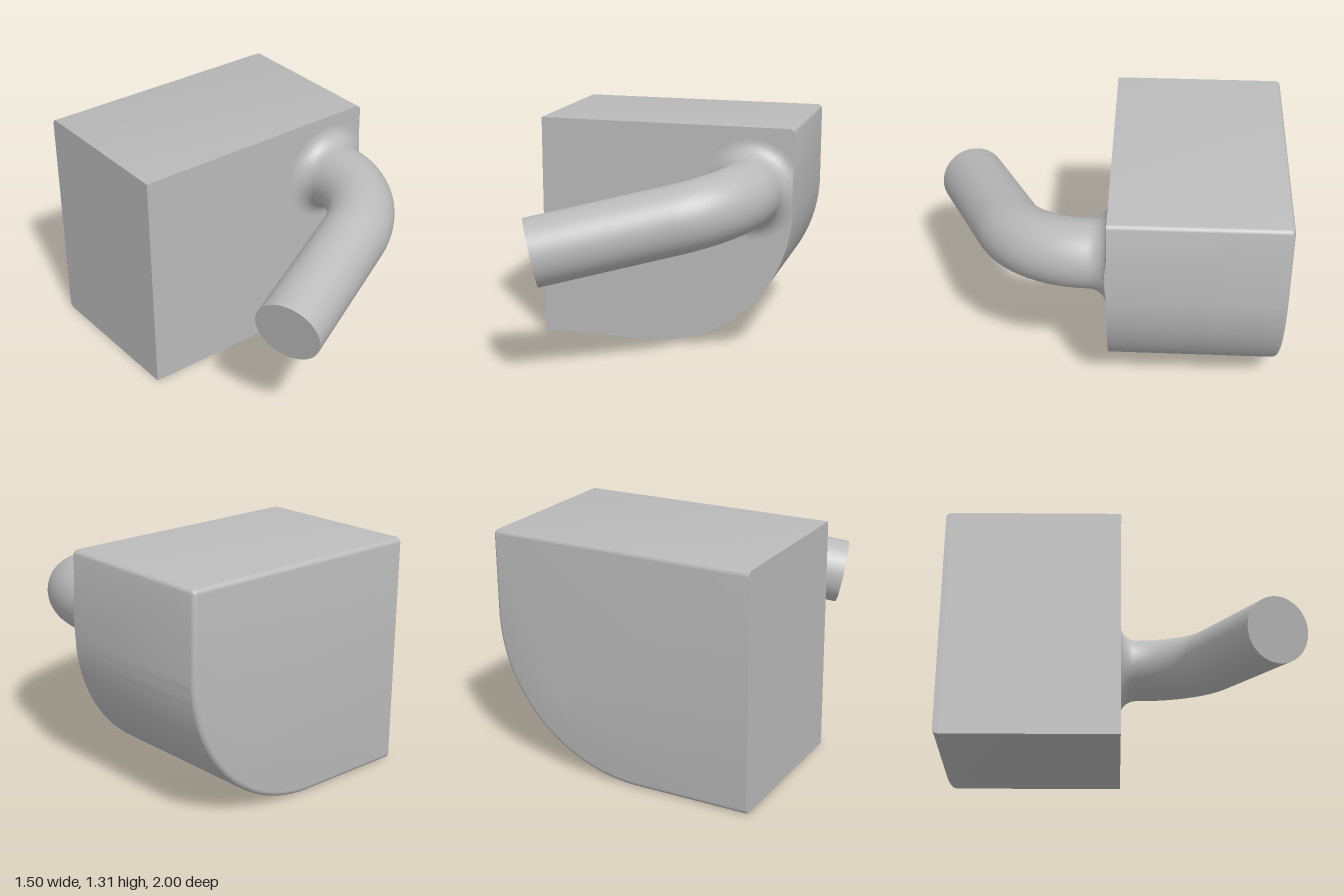
import * as THREE from 'three';
import { toCreasedNormals } from 'three/addons/utils/BufferGeometryUtils.js';

const W = 0.752, H = 1.312;           // block half width and height
const FRONT = -0.04, BACK = -1;       // block depth range
const EDGE = 0.03, CORNER = 0.85;     // small edge round, large lower corner
const AX = 0.51, AY = 0.955;          // arm root on the front face
const ARM_R = 0.19, FILLET = 0.1, BEND_R = 0.508, STRAIGHT = 0.775;
const TILT = THREE.MathUtils.degToRad(12.45);
const BEND = THREE.MathUtils.degToRad(67.5);

// Skin closed rings of points, listed back to front, each counter-clockwise
function loft(rings, capStart, capEnd) {
  const n = rings[0].length, pos = [], idx = [];
  rings.forEach(ring => ring.forEach(p => pos.push(p.x, p.y, p.z)));
  for (let k = 0; k < rings.length - 1; k++) {
    for (let i = 0; i < n; i++) {
      const a = k * n + i, b = k * n + (i + 1) % n;
      idx.push(a, b, a + n, b, b + n, a + n);
    }
  }
  const cap = (k, flip) => {
    const c = new THREE.Vector3();
    rings[k].forEach(p => c.addScaledVector(p, 1 / n));
    const centre = pos.length / 3;
    pos.push(c.x, c.y, c.z);
    for (let i = 0; i < n; i++) {
      const a = k * n + i, b = k * n + (i + 1) % n;
      idx.push(...(flip ? [b, a, centre] : [a, b, centre]));
    }
  };
  if (capStart) cap(0, true);
  if (capEnd) cap(rings.length - 1, false);
  const g = new THREE.BufferGeometry();
  g.setAttribute('position', new THREE.Float32BufferAttribute(pos, 3));
  g.setIndex(idx);
  return toCreasedNormals(g, 0.5);
}

// Block outline, drawn in by d on every side but the flat -x one
function blockRing(d, z) {
  const pts = [new THREE.Vector3(-W, H - d, z), new THREE.Vector3(-W, d, z)];
  const arc = (cx, cy, r, from, steps) => {
    for (let i = 0; i <= steps; i++) {
      const a = from + (i / steps) * Math.PI / 2;
      pts.push(new THREE.Vector3(cx + r * Math.cos(a), cy + r * Math.sin(a), z));
    }
  };
  arc(W - CORNER, CORNER, CORNER - d, -Math.PI / 2, 48);
  arc(W - EDGE, H - EDGE, Math.max(EDGE - d, 0.001), 0, 6);
  return pts;
}

function blockGeometry() {
  const rings = [];
  for (let i = 0; i <= 6; i++) {
    const a = (i / 6) * Math.PI / 2;
    rings.push(blockRing(EDGE * (1 - Math.sin(a)), BACK + EDGE * (1 - Math.cos(a))));
  }
  rings.push(blockRing(0, FRONT));
  return loft(rings, true, true);
}

function armGeometry() {
  const N = 96, rings = [], z0 = FRONT + FILLET;
  const c = Math.cos(TILT), s = Math.sin(TILT);
  const u = new THREE.Vector3(-c, -s, 0), e2 = new THREE.Vector3(-s, c, 0);
  const z = new THREE.Vector3(0, 0, 1);

  // Flared root, trimmed flush with the +x side of the block
  const flareRing = (r, onFace) => Array.from({ length: N }, (_, i) => {
    const a = (i / N) * Math.PI * 2 + TILT, cos = Math.cos(a);
    const rr = cos > 0 ? Math.min(r, (W - AX) / cos) : r;
    const d = ARM_R + FILLET - rr;
    const h = onFace ? FRONT : z0 - Math.sqrt(Math.max(0, FILLET ** 2 - d * d));
    return new THREE.Vector3(AX + rr * cos, AY + rr * Math.sin(a), h);
  });
  rings.push(flareRing(ARM_R + FILLET, true));
  for (let i = 0; i <= 12; i++) {
    rings.push(flareRing(ARM_R + FILLET * (1 - Math.sin((i / 12) * Math.PI / 2)), false));
  }

  // Bent length, then the straight length
  const armRing = (a, along) => {
    const e1 = u.clone().multiplyScalar(-Math.cos(a)).addScaledVector(z, Math.sin(a));
    const centre = new THREE.Vector3(AX, AY, z0)
      .addScaledVector(u, BEND_R * (1 - Math.cos(a)) + along * Math.sin(a))
      .addScaledVector(z, BEND_R * Math.sin(a) + along * Math.cos(a));
    return Array.from({ length: N }, (_, i) => {
      const t = (i / N) * Math.PI * 2;
      return centre.clone()
        .addScaledVector(e1, ARM_R * Math.cos(t))
        .addScaledVector(e2, ARM_R * Math.sin(t));
    });
  };
  for (let i = 1; i <= 32; i++) rings.push(armRing((i / 32) * BEND, 0));
  rings.push(armRing(BEND, STRAIGHT));
  return loft(rings, false, true);
}

export function createModel() {
  const grey = new THREE.MeshStandardMaterial({ color: 0xbababa });
  grey.name = 'grey';
  const group = new THREE.Group();
  group.name = 'bracket';
  const add = (name, geometry) => {
    const mesh = new THREE.Mesh(geometry, grey);
    mesh.name = name;
    group.add(mesh);
  };
  add('block', blockGeometry());
  add('bentArm', armGeometry());
  return group;
}
